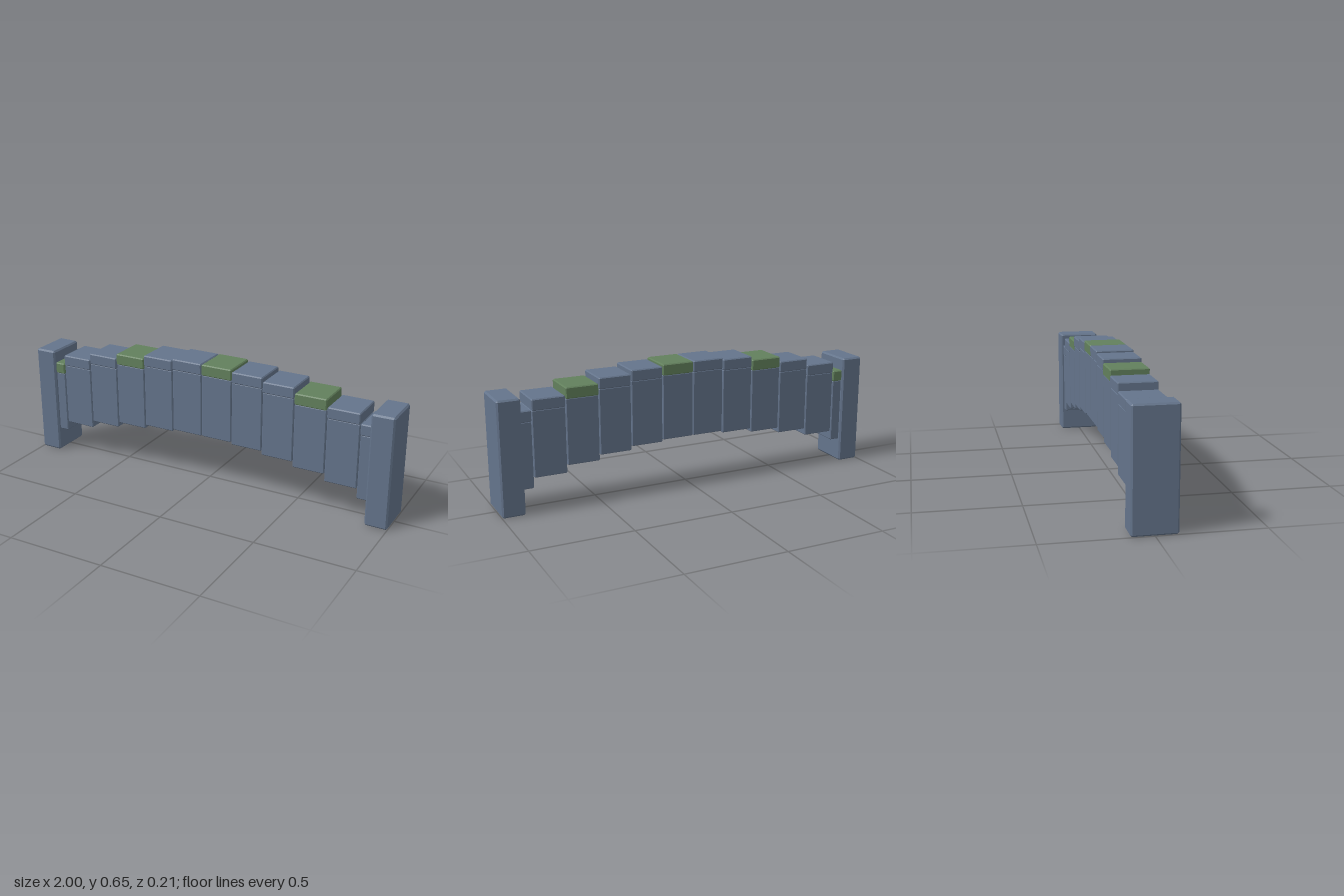
import * as THREE from 'three';
import { ConvexGeometry } from 'three/addons/geometries/ConvexGeometry.js';

// Box with flat chamfered edges, from the 24 corner points
function chamferBox(w, h, d, c) {
  const half = [w / 2, h / 2, d / 2];
  const points = [];
  for (const sx of [-1, 1]) for (const sy of [-1, 1]) for (const sz of [-1, 1]) {
    for (let full = 0; full < 3; full++) {
      const [x, y, z] = half.map((v, axis) => (axis === full ? v : v - c));
      points.push(new THREE.Vector3(sx * x, sy * y, sz * z));
    }
  }
  return new ConvexGeometry(points);
}

export function createModel() {
  const stone = new THREE.MeshStandardMaterial({ color: 0x64748b });
  stone.name = 'slate stone';
  const moss = new THREE.MeshStandardMaterial({ color: 0x62805c });
  moss.name = 'moss green';

  const model = new THREE.Group();
  model.name = 'archedBridge';

  function add(name, geometry, material, x, y, z = 0) {
    const mesh = new THREE.Mesh(geometry, material);
    mesh.name = name;
    mesh.position.set(x, y, z);
    model.add(mesh);
  }

  // Arch: twelve stepped blocks, each with a cap; every third cap is mossy
  const count = 12, pitch = 2 / count;
  const tops = [0.505, 0.555, 0.592, 0.619, 0.638, 0.648];
  const capHeight = 0.057, bodyHeight = 0.328;
  const body = chamferBox(0.163, bodyHeight, 0.18, 0.004);
  const cap = chamferBox(0.164, capHeight, 0.187, 0.005);
  for (let i = 0; i < count; i++) {
    const x = -1 + pitch * (i + 0.5);
    const top = tops[Math.min(i, count - 1 - i)];
    add(`archBlock${i + 1}`, body, stone, x, top - capHeight + 0.002 - bodyHeight / 2);
    add(`capStone${i + 1}`, cap, i % 3 === 0 ? moss : stone, x, top - capHeight / 2);
  }

  // End pillars
  const pillar = chamferBox(0.114, 0.57, 0.212, 0.008);
  add('rightPillar', pillar, stone, -0.943, 0.285);
  add('leftPillar', pillar, stone, 0.943, 0.285);

  return model;
}
